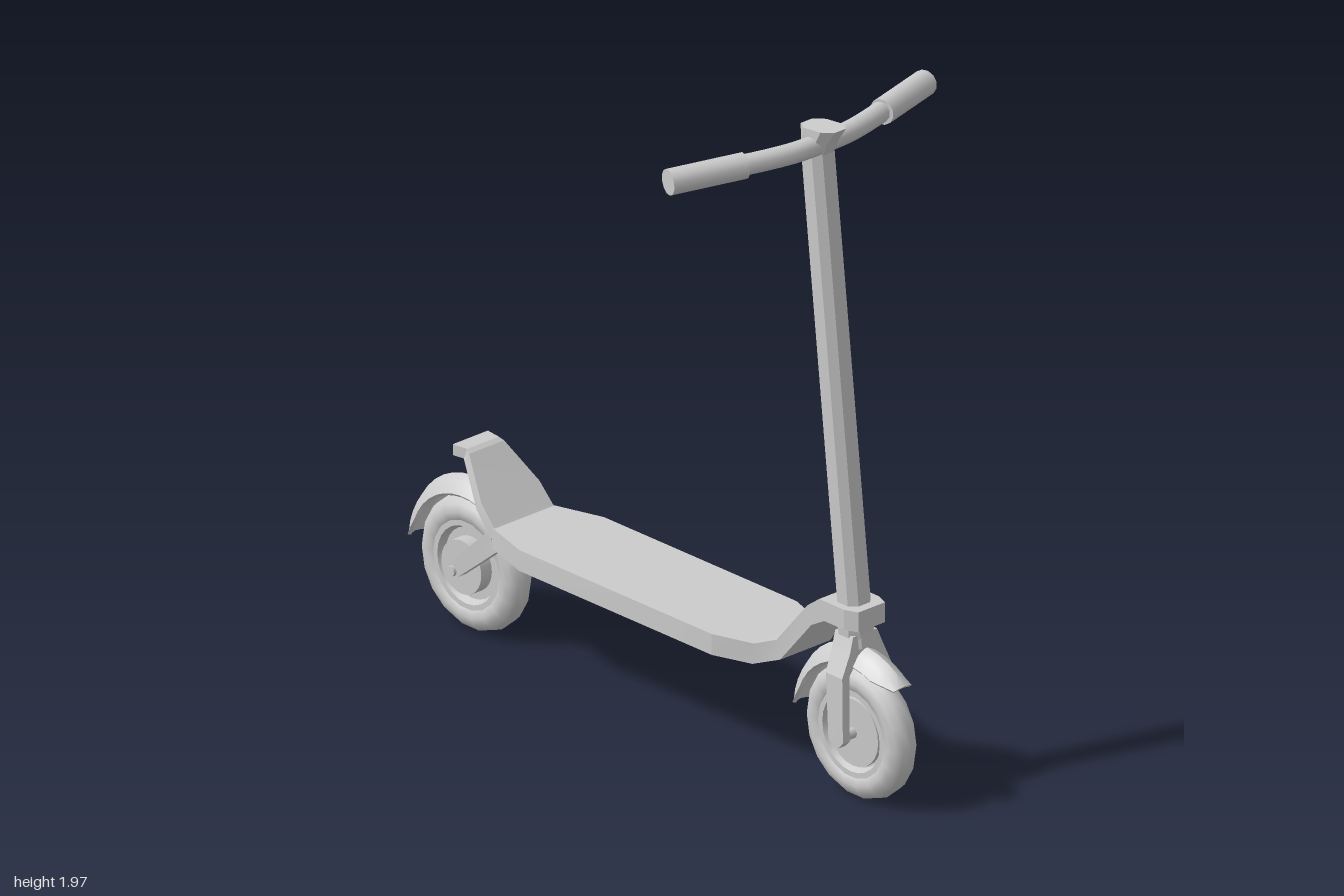
import * as THREE from 'three';
import { toCreasedNormals } from 'three/addons/utils/BufferGeometryUtils.js';

const material = new THREE.MeshStandardMaterial({ color: 0xcccccc });
const mirror = [[1, 'left'], [-1, 'right']];

function add(parent, name, geometry) {
  const mesh = new THREE.Mesh(geometry, material);
  mesh.name = name;
  parent.add(mesh);
  return mesh;
}

// Closed solid through rings of [x, y, z] points, with capped ends
function loft(rings, crease = 0.3) {
  const pos = [], n = rings[0].length;
  const quad = (a, b, c, d) => pos.push(...a, ...b, ...c, ...a, ...c, ...d);
  for (let r = 0; r < rings.length - 1; r++) {
    for (let i = 0; i < n; i++) {
      const j = (i + 1) % n;
      quad(rings[r][i], rings[r][j], rings[r + 1][j], rings[r + 1][i]);
    }
  }
  const last = rings[rings.length - 1], first = rings[0];
  for (let i = 0; i < n / 2 - 1; i++) {
    const j = n - 1 - i;
    quad(last[i], last[i + 1], last[j - 1], last[j]);
    quad(first[j], first[j - 1], first[i + 1], first[i]);
  }
  // Turn the faces outwards if the rings ran the other way
  let volume = 0;
  const v = k => new THREE.Vector3(pos[k], pos[k + 1], pos[k + 2]);
  for (let k = 0; k < pos.length; k += 9) volume += v(k).dot(v(k + 3).cross(v(k + 6)));
  if (volume < 0) {
    for (let k = 0; k < pos.length; k += 9) {
      for (let c = 0; c < 3; c++) [pos[k + 3 + c], pos[k + 6 + c]] = [pos[k + 6 + c], pos[k + 3 + c]];
    }
  }
  const g = new THREE.BufferGeometry();
  g.setAttribute('position', new THREE.Float32BufferAttribute(pos, 3));
  return toCreasedNormals(g, crease);
}

// Ring across the body: half width, top point and bottom point in the y-z plane
const slab = ([w, zt, yt, zb, yb, wb = w]) => [[w, yt, zt], [-w, yt, zt], [-wb, yb, zb], [wb, yb, zb]];
// Horizontal ring with cut corners
function octagon([x, y, z, hx, hz, tilt = 0]) {
  const k = 0.5;
  return [[1, k], [k, 1], [-k, 1], [-1, k], [-1, -k], [-k, -1], [k, -1], [1, -k]]
    .map(([a, b]) => [x + a * hx, y + b * tilt, z + b * hz]);
}
// Upright box ring
const block = ([x, y, z, hx, hz]) =>
  [[x + hx, y, z + hz], [x - hx, y, z + hz], [x - hx, y, z - hz], [x + hx, y, z - hz]];

function rod(from, to, radius, sides = 12) {
  const a = new THREE.Vector3(...from), b = new THREE.Vector3(...to);
  const g = new THREE.CylinderGeometry(radius, radius, a.distanceTo(b), sides);
  g.applyQuaternion(new THREE.Quaternion().setFromUnitVectors(new THREE.Vector3(0, 1, 0), b.clone().sub(a).normalize()));
  const mid = a.add(b).multiplyScalar(0.5);
  return g.translate(mid.x, mid.y, mid.z);
}

function wheel(name, z, hubRadius, hubHalf, axleHalf) {
  const group = new THREE.Group();
  group.name = name;
  group.position.set(0, 0.205, z);
  add(group, 'tyre', new THREE.TorusGeometry(0.154, 0.046, 12, 18).rotateY(Math.PI / 2));
  // Rim with raised lips and a recessed web
  const half = [[0, 0.018], [0.105, 0.018], [0.115, 0.04], [0.135, 0.04]];
  const profile = [...half.map(([r, x]) => [r, -x]), ...half.slice().reverse()]
    .map(p => new THREE.Vector2(...p));
  add(group, 'rim', toCreasedNormals(new THREE.LatheGeometry(profile, 24).rotateZ(Math.PI / 2), 0.5));
  add(group, 'hub', rod([-hubHalf, 0, 0], [hubHalf, 0, 0], hubRadius, 24));
  add(group, 'axle', rod([-axleHalf, 0, 0], [axleHalf, 0, 0], 0.016, 8));
  return group;
}

function fender(name, z) {
  const rings = [], steps = 14;
  for (let s = 0; s <= steps; s++) {
    const t = s / steps, angle = THREE.MathUtils.degToRad(47 + 130 * t);
    const ends = Math.min(1, Math.min(t, 1 - t) * 6 + 0.3);
    const arc = (w, r, drop) => [-1, -0.6, 0, 0.6, 1].map(u => {
      const radius = r - drop * ends * u * u;
      return [u * w, 0.205 + radius * Math.sin(angle), z + radius * Math.cos(angle)];
    });
    const width = 0.052 * (0.5 + 0.5 * ends);
    rings.push([...arc(width, 0.255, 0.045), ...arc(width - 0.006, 0.245, 0.042).reverse()]);
  }
  return loft(rings, 0.75);
}

export function createModel() {
  const model = new THREE.Group();
  model.name = 'kickScooter';

  // Deck with raised nose that clasps the stem
  add(model, 'deck', loft([
    [0.05, 0.84, 0.585, 0.84, 0.525],
    [0.066, 0.80, 0.585, 0.80, 0.525],
    [0.066, 0.70, 0.585, 0.72, 0.525],
    [0.072, 0.66, 0.555, 0.675, 0.50],
    [0.095, 0.56, 0.425, 0.575, 0.37],
    [0.12, 0.495, 0.40, 0.49, 0.337],
    [0.16, 0.37, 0.40, 0.37, 0.337],
    [0.16, -0.40, 0.40, -0.40, 0.337],
    [0.112, -0.56, 0.40, -0.56, 0.337],
  ].map(slab)));
  add(model, 'batteryTray', loft([
    block([0, 0.34, -0.02, 0.125, 0.33]), block([0, 0.295, -0.015, 0.08, 0.225]),
  ]));

  // Rear foot plate with turned-up lip
  add(model, 'footPlate', loft([
    [0.112, -0.545, 0.395, -0.565, 0.36],
    [0.11, -0.605, 0.458, -0.625, 0.435],
    [0.066, -0.70, 0.562, -0.72, 0.536],
    [0.06, -0.715, 0.57, -0.728, 0.537],
    [0.066, -0.765, 0.57, -0.765, 0.537],
  ].map(slab)));

  // Wheels and fenders
  model.add(wheel('frontWheel', 0.80, 0.1, 0.032, 0.095));
  model.add(wheel('rearWheel', -0.74, 0.08, 0.058, 0.1));
  add(model, 'frontFender', fender('front', 0.80));
  add(model, 'rearFender', fender('rear', -0.74));

  // Stem, leaning back, and its cap
  add(model, 'stem', loft([[0, 0.46, 0.783, 0.043, 0.042], [0, 1.92, 0.622, 0.043, 0.042]].map(octagon)));
  add(model, 'stemCap', loft([
    [0, 1.895, 0.625, 0.04, 0.042],
    [0, 1.93, 0.632, 0.043, 0.052, 0.004],
    [0, 1.973, 0.647, 0.043, 0.068, 0.007],
  ].map(octagon)));

  // Handlebar curving back towards the rider
  const bar = new THREE.CatmullRomCurve3([
    [-0.30, 0.59], [-0.20, 0.618], [-0.10, 0.638], [0, 0.642], [0.10, 0.638], [0.20, 0.618], [0.30, 0.59],
  ].map(([x, z]) => new THREE.Vector3(x, 1.92, z)));
  add(model, 'handlebar', new THREE.TubeGeometry(bar, 16, 0.03, 10));

  for (const [s, side] of mirror) {
    add(model, side + 'Grip', rod([s * 0.26, 1.92, 0.605], [s * 0.485, 1.918, 0.54], 0.038));
    // Front fork: shoulder, then straight blade ending in a point
    add(model, side + 'ForkBlade', loft([
      [s * 0.025, 0.50, 0.778, 0.02, 0.036],
      [s * 0.04, 0.455, 0.783, 0.022, 0.036],
      [s * 0.078, 0.39, 0.787, 0.014, 0.033],
      [s * 0.085, 0.20, 0.80, 0.013, 0.029],
      [s * 0.085, 0.18, 0.80, 0.013, 0.01],
    ].map(block)));
    // Rear arm from the deck corner to the axle
    const arm = (x, z, y, h) => [[x + 0.014, y + h, z - h], [x - 0.014, y + h, z - h],
      [x - 0.014, y - h, z + h], [x + 0.014, y - h, z + h]];
    add(model, side + 'RearArm', loft([
      arm(s * 0.095, -0.545, 0.37, 0.022), arm(s * 0.092, -0.62, 0.305, 0.02),
      arm(s * 0.076, -0.735, 0.21, 0.017), arm(s * 0.076, -0.752, 0.195, 0.009),
    ]));
  }
  // Fork crown above the front wheel
  add(model, 'forkCrown', loft([[0, 0.445, 0.784, 0.045, 0.034], [0, 0.53, 0.776, 0.05, 0.045]].map(octagon)));
  return model;
}
